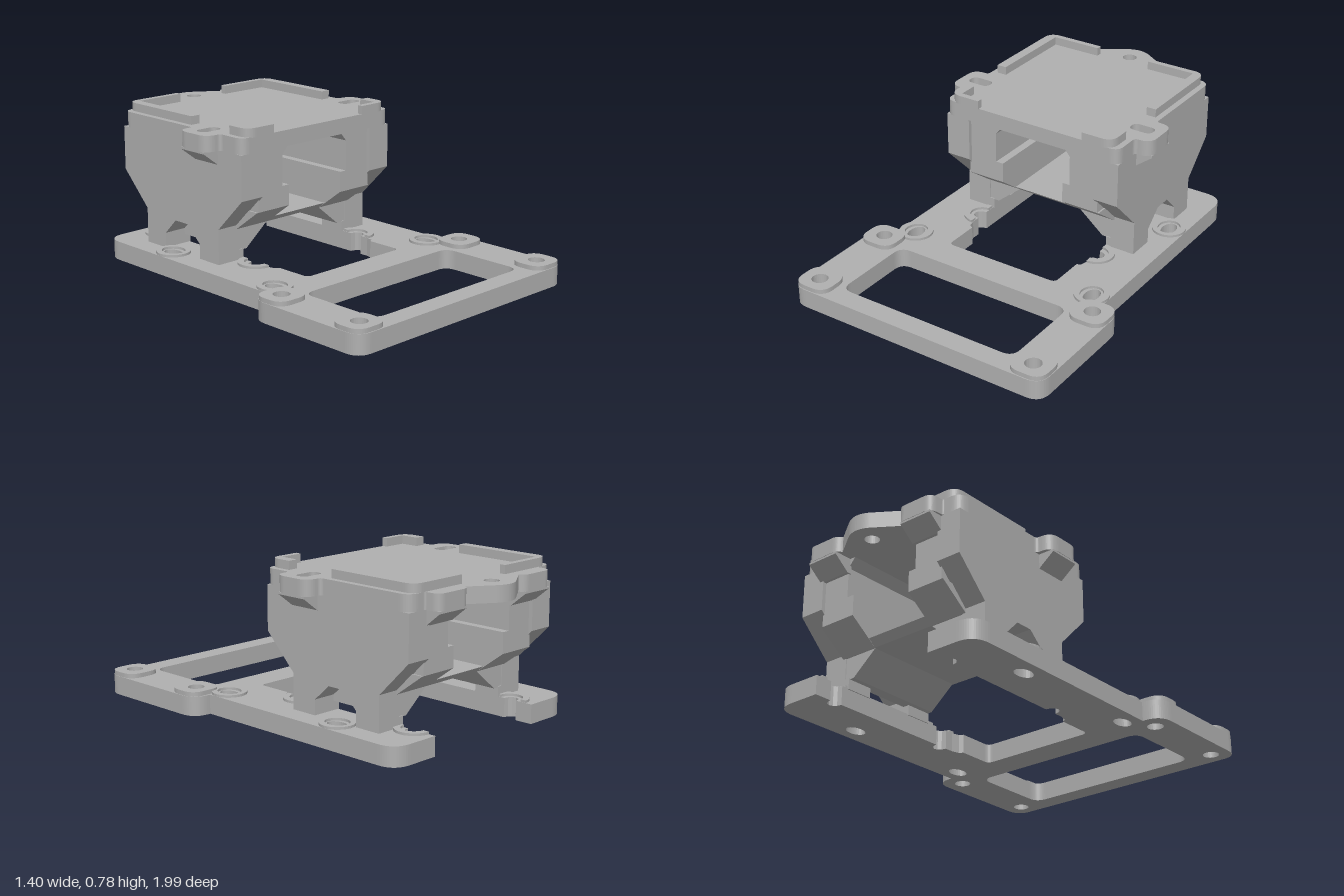
import * as THREE from 'three';

const plastic = new THREE.MeshStandardMaterial({ color: 0xb0b0b0 });
plastic.name = 'grey plastic';

// Trace a polygon of [x, y, cornerRadius] into a Shape or Path
function trace(points, target = new THREE.Shape()) {
  const n = points.length;
  points.forEach(([x, y, r = 0], i) => {
    const toward = ([px, py]) => {
      const d = Math.hypot(px - x, py - y) || 1;
      return [x + ((px - x) * r) / d, y + ((py - y) * r) / d];
    };
    const a = toward(points[(i + n - 1) % n]);
    const b = toward(points[(i + 1) % n]);
    if (i === 0) target.moveTo(...a); else target.lineTo(...a);
    if (r > 0) target.quadraticCurveTo(x, y, ...b);
  });
  target.closePath();
  return target;
}

const ellipse = (x, z, rx, rz = rx, target = new THREE.Path()) =>
  target.absellipse(x, -z, rx, rz, 0, Math.PI * 2);

// Plan outlines are [x, z, r]; shape y is -z
const plan = (pts, target) => trace(pts.map(([x, z, r]) => [x, -z, r]), target);
const mirrored = (half) => [...half, ...half.slice().reverse().map(([x, z, r]) => [-x, z, r])];
const rect = (x0, z0, x1, z1, r = 0) => [[x0, z0, r], [x1, z0, r], [x1, z1, r], [x0, z1, r]];

export function createModel() {
  const model = new THREE.Group();
  model.name = 'mountingBracket';

  const add = (name, geometry) => {
    const mesh = new THREE.Mesh(geometry, plastic);
    mesh.name = name;
    model.add(mesh);
  };
  const extrude = (shape, depth) =>
    new THREE.ExtrudeGeometry(shape, { depth, bevelEnabled: false, curveSegments: 14 });

  // Horizontal slab between two heights
  const slab = (name, shape, y0, y1) =>
    add(name, extrude(shape, y1 - y0).rotateX(-Math.PI / 2).translate(0, y0, 0));
  // Front-facing [x, y] section run along z
  const alongZ = (name, pts, z0, z1) =>
    add(name, extrude(trace(pts), z1 - z0).translate(0, 0, z0));
  // Side [z, y] section run along x, on both sides
  const sidePair = (name, pts, x0, x1) => {
    for (const shift of [x1, -x0])
      add(name, extrude(trace(pts), x1 - x0).rotateY(-Math.PI / 2).translate(shift, 0, 0));
  };

  // Base plate: wide framed front, two rear arms with half-round notches
  const notch = (z) => [-0.035, -0.03, -0.018, 0, 0.018, 0.03, 0.035]
    .map((d) => [0.34 + 0.045 * Math.sqrt(Math.max(0, 1 - (d / 0.035) ** 2)), z - d]);
  const base = plan(mirrored([
    [0.7, 0.99, 0.08], [0.7, 0.325, 0.09], [0.6, 0.325], [0.6, -0.875, 0.1], [0.34, -0.875],
    ...notch(-0.75).reverse(), ...notch(-0.04).reverse(),
    [0.34, 0.04], [0.33, 0.08], [0.31, 0.09], [0.31, 0.28, 0.03],
  ].map((p) => p)));
  base.holes.push(plan(rect(-0.485, 0.44, 0.485, 0.885, 0.06), new THREE.Path()));
  for (const s of [-1, 1]) {
    for (const z of [0.42, 0.9]) base.holes.push(ellipse(s * 0.605, z, 0.04));
    for (const z of [0.28, -0.45]) base.holes.push(ellipse(s * 0.515, z, 0.036, 0.055));
  }
  slab('basePlate', base, 0, 0.095);

  for (const s of [-1, 1]) {
    // Corner screw pads
    for (const [z, z0, z1] of [[0.42, 0.335, 0.51], [0.9, 0.81, 0.985]]) {
      const pad = plan(rect(s * 0.605 - 0.092, z0, s * 0.605 + 0.092, z1, 0.07));
      pad.holes.push(ellipse(s * 0.605, z, 0.04));
      slab('cornerPad', pad, 0.095, 0.117);
    }
    // Raised rings around the slotted holes
    for (const z of [0.28, -0.45]) {
      const ring = ellipse(s * 0.515, z, 0.085, 0.085, new THREE.Shape());
      ring.holes.push(ellipse(s * 0.515, z, 0.055, 0.062));
      slab('slotRing', ring, 0.095, 0.107);
    }
    // Half rings around the notches on the inner edge of each arm
    for (const z of [-0.04, -0.75]) {
      const a = s > 0 ? -Math.PI / 2 : Math.PI / 2;
      const half = new THREE.Shape();
      half.absarc(s * 0.342, -z, 0.09, a, a + Math.PI, false);
      half.absarc(s * 0.342, -z, 0.058, a + Math.PI, a, true);
      slab('notchRing', half, 0.095, 0.107);
    }
  }

  // Outer side walls, tapering into two legs with an arch between them
  sidePair('sideWall', [
    [0.03, 0.66], [0.03, 0.44], [-0.14, 0.27], [-0.14, 0.09], [-0.28, 0.09], [-0.28, 0.17],
    [-0.37, 0.25], [-0.46, 0.25], [-0.54, 0.17], [-0.54, 0.09], [-0.68, 0.09], [-0.68, 0.27],
    [-0.85, 0.44], [-0.85, 0.66],
  ], 0.36, 0.49);
  for (const z of [-0.28, -0.68])
    sidePair('legFoot', [[z, 0.09], [z + 0.14, 0.09], [z + 0.14, 0.145], [z, 0.145]], 0.335, 0.362);

  // Inner walls framing the tunnel, their tapered undersides and braces
  for (const s of [-1, 1]) {
    const m = (pts) => pts.map(([x, y]) => [s * x, y]);
    alongZ('tunnelWall', m([
      [0.37, 0.665], [0.17, 0.665], [0.213, 0.615], [0.213, 0.463], [0.173, 0.463],
      [0.173, 0.36], [0.37, 0.36],
    ]), -0.83, 0.01);
    alongZ('legBrace', m([
      [0.17, 0.255], [0.31, 0.14], [0.37, 0.14], [0.37, 0.255],
    ]), -0.675, -0.145);
  }
  sidePair('taperedUnderside',
    [[0.01, 0.36], [-0.14, 0.25], [-0.68, 0.25], [-0.83, 0.36]], 0.173, 0.378);

  // Tunnel floor with sloped ends
  add('tunnelFloor', extrude(
    trace([[-0.1, 0.283], [-0.14, 0.25], [-0.68, 0.25], [-0.72, 0.283]]), 0.36)
    .rotateY(-Math.PI / 2).translate(0.18, 0, 0));

  // Top plate with side ears, rear bumps and a pointed rear tab
  const top = plan(mirrored([
    [0.3, 0.035], [0.49, 0.035, 0.05], [0.49, -0.115, 0.02], [0.575, -0.115, 0.06],
    [0.575, -0.32, 0.06], [0.49, -0.32, 0.02], [0.49, -0.85, 0.06], [0.39, -0.85, 0.01],
    [0.385, -0.927, 0.04], [0.2, -0.927, 0.03], [0.185, -0.9], [0.035, -1, 0.04],
  ]));
  top.holes.push(ellipse(0, -0.895, 0.036));
  for (const s of [-1, 1])
    top.holes.push(plan(rect(s * 0.468 - 0.06, -0.255, s * 0.468 + 0.06, -0.19, 0.032), new THREE.Path()));
  slab('topPlate', top, 0.66, 0.738);

  // Sloped supports below the ears and the rear bumps
  for (const s of [-1, 1])
    alongZ('earSupport',
      [[s * 0.48, 0.66], [s * 0.573, 0.66], [s * 0.573, 0.65], [s * 0.48, 0.58]], -0.3, -0.135);
  sidePair('bumpSupport',
    [[-0.82, 0.66], [-0.925, 0.66], [-0.925, 0.65], [-0.845, 0.585], [-0.82, 0.585]], 0.205, 0.38);

  // Corner lips on the top plate
  for (const s of [-1, 1]) {
    const m = (pts) => pts.map(([x, z, r]) => [s * x, z, r]);
    slab('rearLip', plan(m([
      [0.15, -0.85], [0.46, -0.85, 0.06], [0.46, -0.36], [0.41, -0.36], [0.41, -0.82], [0.15, -0.82],
    ])), 0.735, 0.78);
    slab('frontLip', plan(m([
      [0.295, 0.04], [0.46, 0.04, 0.06], [0.46, -0.085], [0.41, -0.085], [0.41, 0.01], [0.295, 0.01],
    ])), 0.735, 0.78);
  }

  return model;
}
